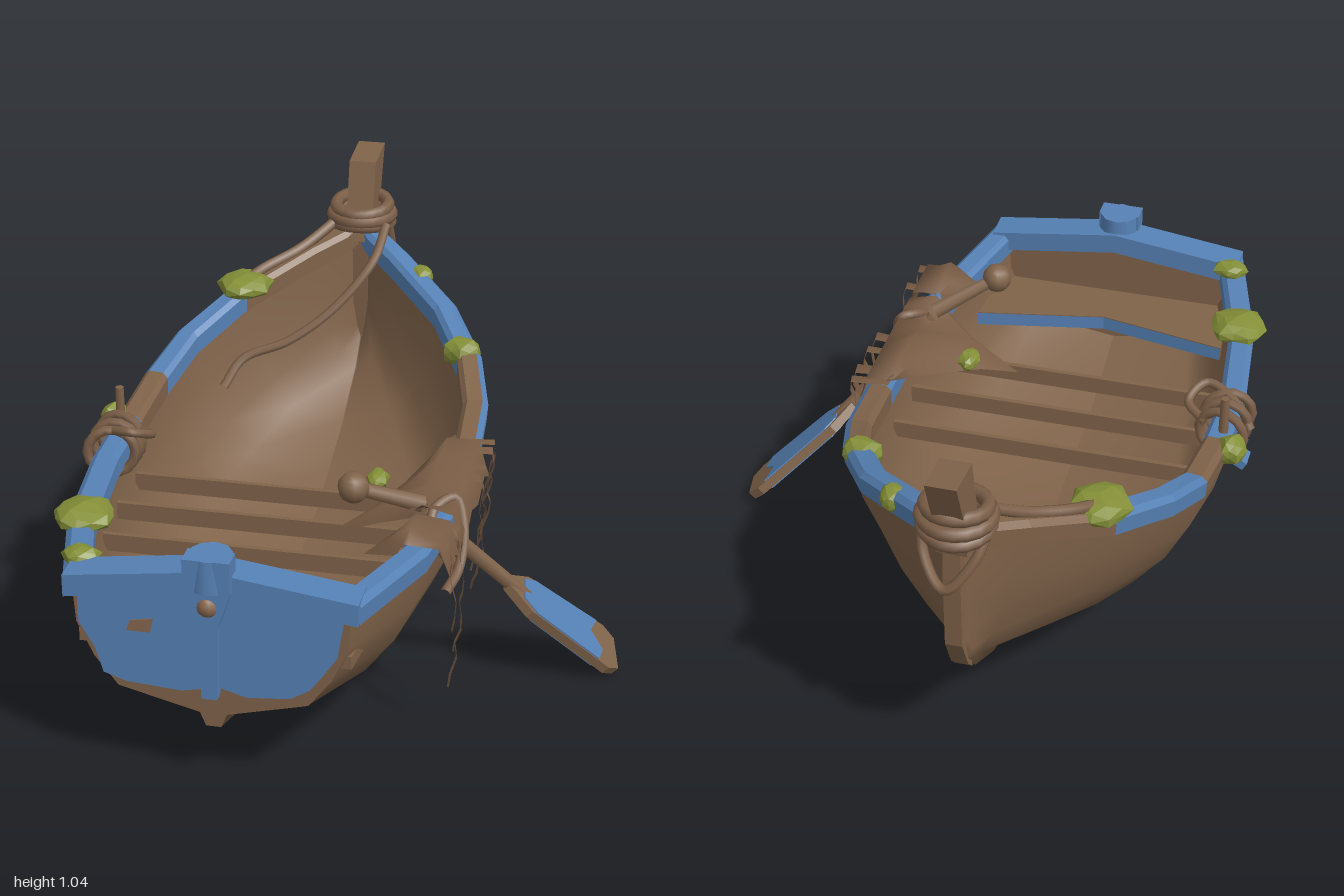
import * as THREE from 'three';

const CX = -0.185; // centre line of the hull
const V = (x, y, z) => new THREE.Vector3(x, y, z);
const material = (name, color, side = THREE.FrontSide) =>
  Object.assign(new THREE.MeshStandardMaterial({ color, side }), { name });

// Hull stations: z, half width, sheer height, keel height
const STATIONS = [
  [0.95, 0.375, 0.6, 0.2], [0.6, 0.475, 0.57, 0.08], [0.25, 0.515, 0.57, 0.05],
  [0.03, 0.51, 0.585, 0.07], [-0.2, 0.495, 0.62, 0.11], [-0.38, 0.445, 0.68, 0.16],
  [-0.58, 0.335, 0.745, 0.23], [-0.76, 0.16, 0.82, 0.33], [-0.84, 0.075, 0.85, 0.41],
  [-0.88, 0.03, 0.87, 0.52],
];

// Surface through rows of points
function grid(rows, flip = false) {
  const n = rows[0].length, index = [];
  for (let i = 0; i < rows.length - 1; i++) for (let j = 0; j < n - 1; j++) {
    const a = i * n + j, b = a + 1, c = a + n, d = c + 1;
    index.push(...(flip ? [a, c, b, b, c, d] : [a, b, c, b, d, c]));
  }
  const g = new THREE.BufferGeometry().setFromPoints(rows.flat());
  g.setIndex(index);
  g.computeVertexNormals();
  return g;
}
function flat(g) {
  const f = g.index ? g.toNonIndexed() : g;
  f.computeVertexNormals();
  return f;
}

// One cross-section of the hull, from left sheer through keel to right sheer
function section([z, w, sheer, keel], inner) {
  const bow = THREE.MathUtils.clamp((-z - 0.1) / 0.75, 0, 1);
  const hw = Math.max(w - (inner ? 0.05 : 0.02), 0.005), h = sheer - 0.02 - keel;
  const full = [1, 0.98, 0.86, 0.69], vee = [1, 0.87, 0.66, 0.42], level = [1, 0.7, 0.45, 0.24];
  const half = level.map((t, i) => [hw * THREE.MathUtils.lerp(full[i], vee[i], bow), keel + h * t + (inner && i === 3 ? 0.02 : 0)]);
  if (inner) half.push([0.002, keel + 0.2 * h]);
  else half.push([Math.min(0.035, hw), keel + 0.1 * h], [Math.min(0.02, hw), keel]);
  return [...half.map(([x, y]) => V(CX + x, y, z)), ...half.reverse().map(([x, y]) => V(CX - x, y, z))];
}

export function createModel() {
  const boat = new THREE.Group();
  boat.name = 'rowingBoat';
  const wood = material('weathered wood', 0x80634a);
  const blue = material('faded blue paint', 0x5681b5);
  const rope = material('rope', 0x7c5f48);
  const cloth = material('tattered net', 0x795c45, THREE.DoubleSide);
  const moss = material('moss', 0x848f38);
  const rust = material('worn paint', 0x87664f);
  const add = (name, geometry, mat, parent = boat) => {
    const m = new THREE.Mesh(geometry, mat);
    m.name = name;
    parent.add(m);
    return m;
  };
  const tube = (name, pts, r, mat, closed = false) =>
    add(name, new THREE.TubeGeometry(new THREE.CatmullRomCurve3(pts.map(p => V(...p)), closed), pts.length * 6, r, 7, closed), mat);
  const rod = (name, a, b, r0, r1, mat) => {
    const m = add(name, new THREE.CylinderGeometry(r1, r0, a.distanceTo(b), 8), mat);
    m.position.copy(a).lerp(b, 0.5);
    m.quaternion.setFromUnitVectors(V(0, 1, 0), b.clone().sub(a).normalize());
    return m;
  };
  const extrude = (pts, depth) =>
    new THREE.ExtrudeGeometry(new THREE.Shape(pts.map(p => new THREE.Vector2(...p))), { depth, bevelEnabled: false });

  // Hull skins
  add('hullOutside', grid(STATIONS.map(s => section(s, false))), wood);
  add('hullInside', grid(STATIONS.map(s => section(s, true)), true), wood);

  // Transom with its painted face
  const end = section(STATIONS[0], false).map(p => [p.x, p.y]);
  add('transom', extrude(end.slice().reverse(), 0.04).translate(0, 0, 0.915), wood);
  const paint = [[-0.34, 0.59], [-0.34, 0.47], [-0.3, 0.4], [-0.28, 0.33], [-0.22, 0.31], [-0.08, 0.3],
    [0.02, 0.32], [0.09, 0.3], [0.2, 0.31], [0.25, 0.34], [0.28, 0.38], [0.32, 0.44], [0.345, 0.59]];
  add('transomPaint', extrude(paint.map(([x, y]) => [x + CX, y]), 0.008).translate(0, 0, 0.955), blue);
  const cap = [[-0.375, 0.54], [0, 0.59], [0.375, 0.54], [0.375, 0.6], [0, 0.65], [-0.375, 0.6]];
  add('transomRail', extrude(cap.map(([x, y]) => [x + CX, y]), 0.095).translate(0, 0, 0.875), blue);
  add('transomPatch', extrude([[-0.4, 0.46], [-0.34, 0.46], [-0.33, 0.5], [-0.39, 0.49]], 0.004).translate(0, 0, 0.962), rust);
  add('sternPost', extrude([[-0.06, 0.69], [-0.06, 0.6], [-0.025, 0.5], [-0.02, 0.3], [0.02, 0.3], [0.025, 0.5], [0.06, 0.6], [0.06, 0.69]], 0.06)
    .translate(CX, 0, 0.93), blue);
  add('sternCap', new THREE.CylinderGeometry(0.055, 0.06, 0.09, 10).translate(CX, 0.645, 0.94), blue);
  add('sternKnob', new THREE.SphereGeometry(0.03, 10, 8).translate(CX, 0.56, 0.975), rust);

  // Gunwales: outer strip and top strip for each station pair
  const paintMap = { 1: 'bbbwwbbbb', '-1': 'bbbwbbwww' };
  for (const s of [1, -1]) {
    const rings = STATIONS.map(([z, w, y], i) => {
      const p = STATIONS[Math.max(i - 1, 0)], q = STATIONS[Math.min(i + 1, 9)];
      const n = new THREE.Vector2(p[0] - q[0], q[1] < p[1] ? q[1] - p[1] : q[1] - p[1]).normalize();
      return [[0, -0.065], [0.004, -0.015], [-0.012, 0], [-0.055, 0], [-0.068, -0.015], [-0.068, -0.065], [0, -0.065]]
        .map(([o, dy]) => V(CX + s * Math.max(w + o * n.x, 0), y + dy, z + o * n.y));
    });
    for (let i = 0; i < 9; i++) {
      const mat = paintMap[s][i] === 'b' ? blue : wood;
      const part = (a, b) => flat(grid([rings[i].slice(a, b), rings[i + 1].slice(a, b)], s > 0));
      add(s > 0 ? 'leftRailSide' : 'rightRailSide', part(0, 3), s > 0 ? blue : mat);
      add(s > 0 ? 'leftRailTop' : 'rightRailTop', part(2, 7), mat);
    }
  }

  // Stem and bow post, drawn in side profile
  const profile = (pts, width) => extrude(pts, width).rotateY(-Math.PI / 2).translate(CX + width / 2, 0, 0);
  add('stem', profile([[-0.8, 0.36], [-0.84, 0.4], [-0.895, 0.5], [-0.91, 0.72], [-0.91, 0.87], [-0.82, 0.87], [-0.84, 0.5]].reverse(), 0.045), wood);
  add('bowPost', profile([[-0.8, 0.82], [-0.91, 0.8], [-0.935, 0.92], [-1, 1.065], [-0.865, 1.05]].reverse(), 0.08), wood);

  // Rope coils and trailing ends at the bow
  [[0.865, 0.085], [0.89, 0.088], [0.918, 0.078]].forEach(([y, r], i) => {
    const ring = add('bowCoil', new THREE.TorusGeometry(r, 0.019, 7, 18), rope);
    ring.rotation.set(Math.PI / 2 + 0.12 * (i - 1), 0, 0);
    ring.position.set(CX, y, -0.86);
  });
  tube('bowLoop', [[-0.1, 0.88, -0.83], [-0.1, 0.77, -0.87], [-0.17, 0.7, -0.93], [-0.24, 0.78, -0.9], [-0.27, 0.88, -0.84]], 0.014, rope);
  tube('trailingRope', [[-0.1, 0.88, -0.8], [-0.12, 0.8, -0.7], [-0.22, 0.68, -0.6], [-0.34, 0.6, -0.52], [-0.46, 0.56, -0.46], [-0.5, 0.5, -0.38]], 0.014, rope);
  tube('railRope', [[-0.24, 0.89, -0.82], [-0.34, 0.82, -0.72], [-0.44, 0.78, -0.62], [-0.5, 0.75, -0.52]], 0.016, rope);

  // Stern bench with a painted front edge
  const bench = [[-0.37, 0.69], [0, 0.765], [0.37, 0.69], [0.35, 0.93], [-0.35, 0.93]];
  add('sternBench', extrude(bench.map(([x, z]) => [x + CX, z]), 0.035).rotateX(Math.PI / 2).translate(0, 0.43, 0), wood);
  const edge = [-1, 0, 1].map(t => [CX + t * 0.37, 0.765 - 0.075 * Math.abs(t) - 0.004]);
  add('benchEdge', flat(grid([edge.map(([x, z]) => V(x, 0.43, z)), edge.map(([x, z]) => V(x, 0.39, z))])), blue);

  // Cross boards
  for (const z of [0.08, 0.26, 0.44])
    add('crossBoard', new THREE.BoxGeometry(0.9, 0.05, 0.015).translate(CX, 0.41, z), wood);

  // Oar: loose handle, shaft and two-tone blade
  add('oarKnob', new THREE.SphereGeometry(0.042, 10, 8).translate(0.08, 0.68, 0.51), wood);
  rod('oarHandle', V(0.08, 0.68, 0.51), V(0.24, 0.6, 0.41), 0.018, 0.024, wood);
  rod('oarShaft', V(0.24, 0.58, 0.41), V(0.5, 0.27, 0.26), 0.023, 0.02, wood);
  const blade = new THREE.Group();
  blade.name = 'oarBlade';
  const axis = V(0.28, -0.27, -0.13).normalize();
  const across = V(0, 0, 1).addScaledVector(axis, -axis.z).normalize();
  blade.quaternion.setFromRotationMatrix(new THREE.Matrix4().makeBasis(axis, across, axis.clone().cross(across)));
  blade.position.set(0.45, 0.32, 0.285);
  boat.add(blade);
  add('bladeWood', extrude([[0, -0.02], [0.08, -0.07], [0.37, -0.085], [0.41, -0.06], [0.41, 0.06], [0.37, 0.085], [0.08, 0.07], [0, 0.02]], 0.026).translate(0, 0, -0.013), wood, blade);
  for (const z of [-0.017, 0.013])
    add('bladePaint', extrude([[0.06, -0.045], [0.1, -0.067], [0.34, -0.08], [0.31, -0.02], [0.35, 0.03], [0.33, 0.08], [0.1, 0.067], [0.05, 0.035]], 0.004).translate(0, 0, z), blue, blade);
  tube('oarLashing', [[0.33, 0.42, 0.55], [0.35, 0.45, 0.47], [0.35, 0.53, 0.4], [0.32, 0.6, 0.36], [0.27, 0.58, 0.42], [0.3, 0.5, 0.46], [0.35, 0.44, 0.44]], 0.014, rope);

  // Torn net draped over the left rail: z, inner x, inner y
  const drape = [[0.03, 0.27, 0.6], [0.1, 0.21, 0.58], [0.2, 0.15, 0.54], [0.3, 0.07, 0.5], [0.37, -0.02, 0.46], [0.41, 0.13, 0.53], [0.46, 0.22, 0.58]];
  const drapeRow = ([z, x, y], i) => [V(x, y, z), V((x + 0.25) / 2, (y + 0.62) / 2 + 0.01, z),
    V(0.25, 0.61 + 0.035 * Math.sin(i * 1.1), z), V(0.33, 0.6, z), V(0.355, 0.5 + 0.035 * (i % 2), z)];
  add('netDrape', grid(drape.map(drapeRow)), cloth);
  add('netScrap', grid([[0.49, 0.24, 0.58], [0.55, 0.21, 0.59], [0.62, 0.13, 0.55], [0.65, 0.22, 0.57]].map(drapeRow)), cloth);

  // Hanging strands: z, bottom height, sideways drift, half width
  const strands = [[0.62, 0.2, 0.02, 0.018], [0.51, 0.24, 0.03, 0.016], [0.23, 0.25, 0, 0.018],
    [0.17, 0.28, 0.01, 0.014], [0.08, 0.19, -0.05, 0.02], [0.03, 0.27, -0.1, 0.015]];
  strands.forEach(([z, low, drift, hw], k) => {
    const rows = Array.from({ length: 11 }, (_, i) => {
      const t = i / 10, w = hw * (1.1 - t), c = z + drift * t + 0.013 * Math.sin(i * 1.5 + k);
      const x = 0.345 + 0.022 * Math.sin(t * 2.4 + k * 0.4) + 0.007 * Math.sin(i * 1.8), y = 0.6 + (low - 0.6) * t;
      return [V(x, y, c - w), V(x + 0.006, y, c + w)];
    });
    rows.unshift([V(0.26, 0.6, z - hw), V(0.26, 0.6, z + hw)]);
    add('netStrand', grid(rows), cloth);
  });

  // Rowlock pin and lashings on the right rail
  rod('rowlockPin', V(-0.675, 0.54, 0.07), V(-0.675, 0.69, 0.07), 0.014, 0.012, wood);
  for (const z of [0.1, 0.15, 0.2]) {
    const ring = add('railLashing', new THREE.TorusGeometry(0.066, 0.014, 6, 14), rope);
    ring.position.set(-0.665, 0.555, z);
    ring.rotation.y = (z - 0.15) * 4;
  }
  tube('lashingEnd', [[-0.62, 0.58, 0.1], [-0.56, 0.6, 0.16], [-0.6, 0.63, 0.22], [-0.7, 0.6, 0.17], [-0.74, 0.55, 0.14]], 0.013, rope);
  add('paintedChip', new THREE.BoxGeometry(0.05, 0.025, 0.06).rotateZ(0.5).translate(-0.715, 0.47, 0.12), blue);

  // Moss clumps: x, y, z and radii
  const clumps = [[-0.47, 0.755, -0.56, 0.08, 0.035, 0.085], [-0.615, 0.575, 0.6, 0.08, 0.035, 0.085],
    [0.205, 0.67, -0.4, 0.055, 0.045, 0.045], [-0.54, 0.6, 0.86, 0.05, 0.025, 0.04],
    [-0.71, 0.57, 0.01, 0.04, 0.04, 0.05], [0.03, 0.77, -0.69, 0.035, 0.035, 0.04], [0.09, 0.57, 0.24, 0.03, 0.025, 0.045]];
  clumps.forEach(([x, y, z, rx, ry, rz], k) => {
    const g = new THREE.IcosahedronGeometry(1, 1), p = g.attributes.position;
    for (let i = 0; i < p.count; i++) {
      const f = 1 + 0.15 * Math.sin(p.getX(i) * 5 + k) * Math.cos(p.getZ(i) * 4 + k);
      p.setXYZ(i, p.getX(i) * f * rx, p.getY(i) * f * ry, p.getZ(i) * f * rz);
    }
    add('mossClump', flat(g).translate(x, y, z), moss);
  });
  return boat;
}
